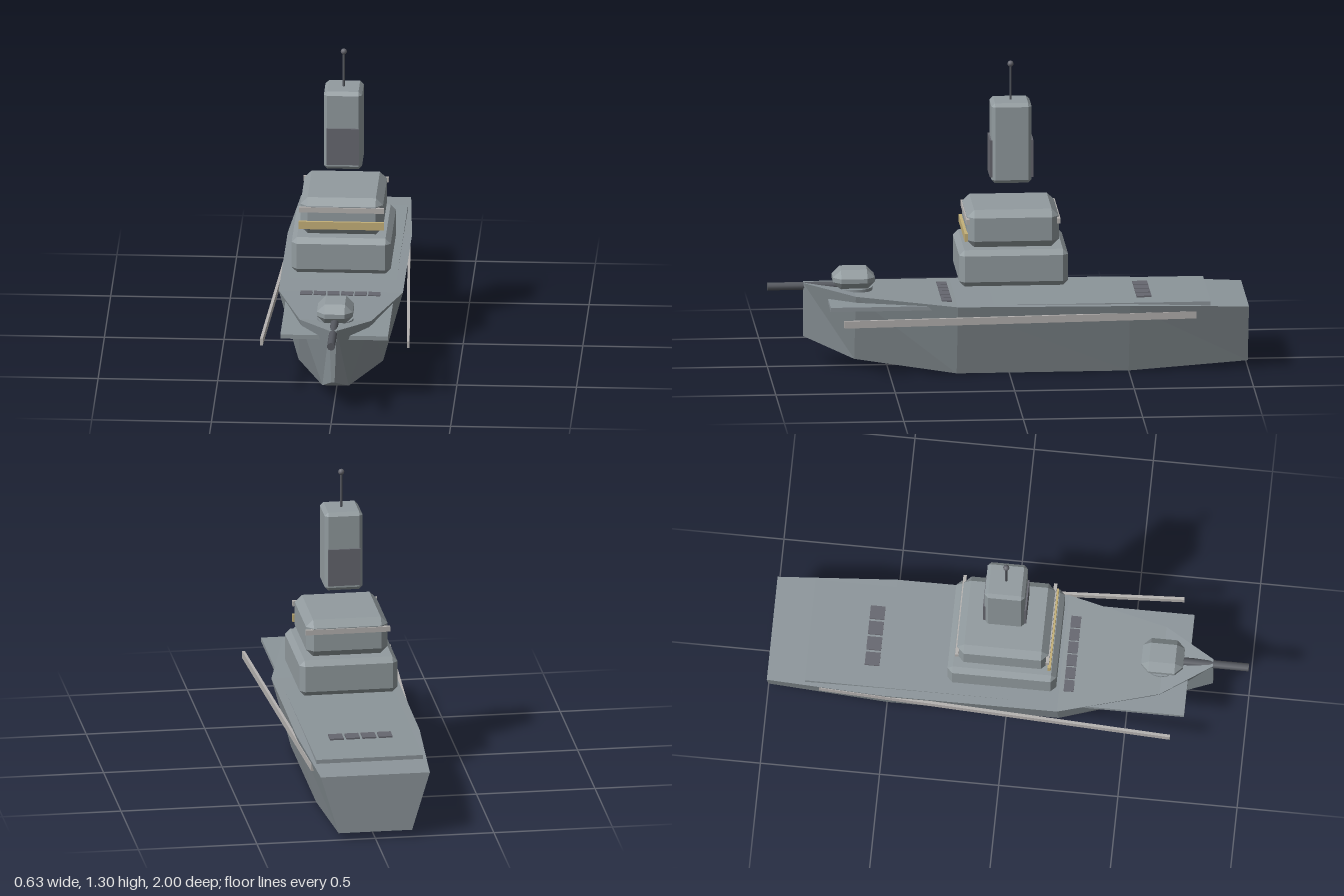
import * as THREE from 'three';
import { ConvexGeometry } from 'three/addons/geometries/ConvexGeometry.js';

const paint = (name, color) => {
  const m = new THREE.MeshStandardMaterial({ color });
  m.name = name;
  return m;
};

// Box with every edge cut at 45 degrees
function chamferBox(w, h, d, c) {
  const pts = [];
  for (const sx of [-1, 1]) for (const sy of [-1, 1]) for (const sz of [-1, 1]) {
    const x = w / 2, y = h / 2, z = d / 2;
    pts.push(
      new THREE.Vector3(sx * x, sy * (y - c), sz * (z - c)),
      new THREE.Vector3(sx * (x - c), sy * y, sz * (z - c)),
      new THREE.Vector3(sx * (x - c), sy * (y - c), sz * z));
  }
  return new ConvexGeometry(pts);
}

// Faceted hull lofted through four-cornered sections from stern to bow
function hullGeometry() {
  // z, deck half width, deck height, keel half width, keel height
  const sections = [
    [-1.0, 0.23, 0.28, 0.155, 0.03],
    [-0.5, 0.26, 0.297, 0.177, 0],
    [0.22, 0.26, 0.304, 0.177, 0],
    [0.64, 0.15, 0.33, 0.055, 0.04],
    [0.85, 0.016, 0.36, 0.007, 0.13],
  ].map(([z, dw, dy, kw, ky]) => [[dw, dy, z], [kw, ky, z], [-kw, ky, z], [-dw, dy, z]]);
  const pos = [];
  const tri = (...corners) => corners.forEach((p) => pos.push(...p));
  for (let i = 0; i < sections.length - 1; i++) {
    const s = sections[i], t = sections[i + 1];
    for (let k = 0; k < 4; k++) {
      const n = (k + 1) % 4;
      if (k === 2) { // mirrored diagonal on the right side
        tri(s[k], t[k], t[n]);
        tri(s[k], t[n], s[n]);
      } else {
        tri(s[k], t[k], s[n]);
        tri(t[k], t[n], s[n]);
      }
    }
  }
  const a = sections[0], b = sections[sections.length - 1];
  tri(a[0], a[1], a[2]);
  tri(a[0], a[2], a[3]);
  tri(b[0], b[2], b[1]);
  tri(b[0], b[3], b[2]);
  const g = new THREE.BufferGeometry();
  g.setAttribute('position', new THREE.Float32BufferAttribute(pos, 3));
  g.computeVertexNormals();
  return g;
}

export function createModel() {
  const hullGray = paint('hull gray', 0x8c959a);
  const towerGray = paint('superstructure gray', 0x929b9f);
  const trimGray = paint('light trim', 0xb5b2b0);
  const panelGray = paint('dark panel', 0x66676f);
  const gunGray = paint('gunmetal', 0x55585f);
  const windowGold = paint('window gold', 0xc4b078);

  const model = new THREE.Group();
  model.name = 'warship';
  const add = (name, geometry, material, x, y, z, parent = model) => {
    const mesh = new THREE.Mesh(geometry, material);
    mesh.name = name;
    mesh.position.set(x, y, z);
    parent.add(mesh);
    return mesh;
  };
  const box = (w, h, d) => new THREE.BoxGeometry(w, h, d);
  const midZ = -0.018;

  // Hull and deck
  add('hull', hullGeometry(), hullGray, 0, 0, 0);
  add('deckPlate', box(0.45, 0.018, 1.59), hullGray, 0, 0.2935, -0.045);

  // Side rails, splayed toward the bow
  for (const side of [-1, 1]) {
    const rail = add(side > 0 ? 'leftRail' : 'rightRail',
      box(0.012, 0.03, 1.48), trimGray, side * 0.27, 0.249, -0.04);
    rail.rotation.y = side * 0.05;
  }

  // Deck hatches
  for (let i = 0; i < 4; i++)
    add('rearHatch', box(0.058, 0.01, 0.062), panelGray, (i - 1.5) * 0.0687, 0.304, -0.568);
  for (let i = 0; i < 6; i++)
    add('frontHatch', box(0.05, 0.01, 0.042), panelGray, (i - 2.5) * 0.057, 0.307, 0.26);

  // Forward gun
  const gun = new THREE.Group();
  gun.name = 'gun';
  model.add(gun);
  add('gunBase', new THREE.CylinderGeometry(0.075, 0.075, 0.03, 16), hullGray, 0, 0.325, 0.635, gun);
  add('gunTurret', chamferBox(0.15, 0.085, 0.175, 0.033), towerGray, 0, 0.377, 0.64, gun);
  const barrel = add('gunBarrel', new THREE.CylinderGeometry(0.017, 0.017, 0.36, 10),
    gunGray, 0, 0.344, 0.82, gun);
  barrel.rotation.x = Math.PI / 2;

  // Stacked superstructure blocks
  add('lowerBlock', chamferBox(0.414, 0.155, 0.456, 0.022), towerGray, 0, 0.453, midZ);
  add('upperBlock', chamferBox(0.345, 0.16, 0.384, 0.03), towerGray, 0, 0.613, midZ);
  add('bridgeWindow', box(0.356, 0.033, 0.014), windowGold, 0, 0.582, 0.179);
  for (const side of [-1, 1])
    add('bridgeTrim', box(0.356, 0.022, 0.014), trimGray, 0, 0.648, midZ + side * 0.19);

  // Tower with front and back panels
  add('tower', chamferBox(0.16, 0.343, 0.168, 0.015), towerGray, 0, 0.959, midZ);
  for (const side of [-1, 1])
    add('towerPanel', box(0.136, 0.16, 0.012), panelGray, 0, 0.892, midZ + side * 0.085);

  // Mast
  add('mast', new THREE.CylinderGeometry(0.005, 0.005, 0.15, 8), gunGray, 0, 1.203, midZ);
  add('mastBall', new THREE.SphereGeometry(0.013, 12, 8), panelGray, 0, 1.284, midZ);

  return model;
}
